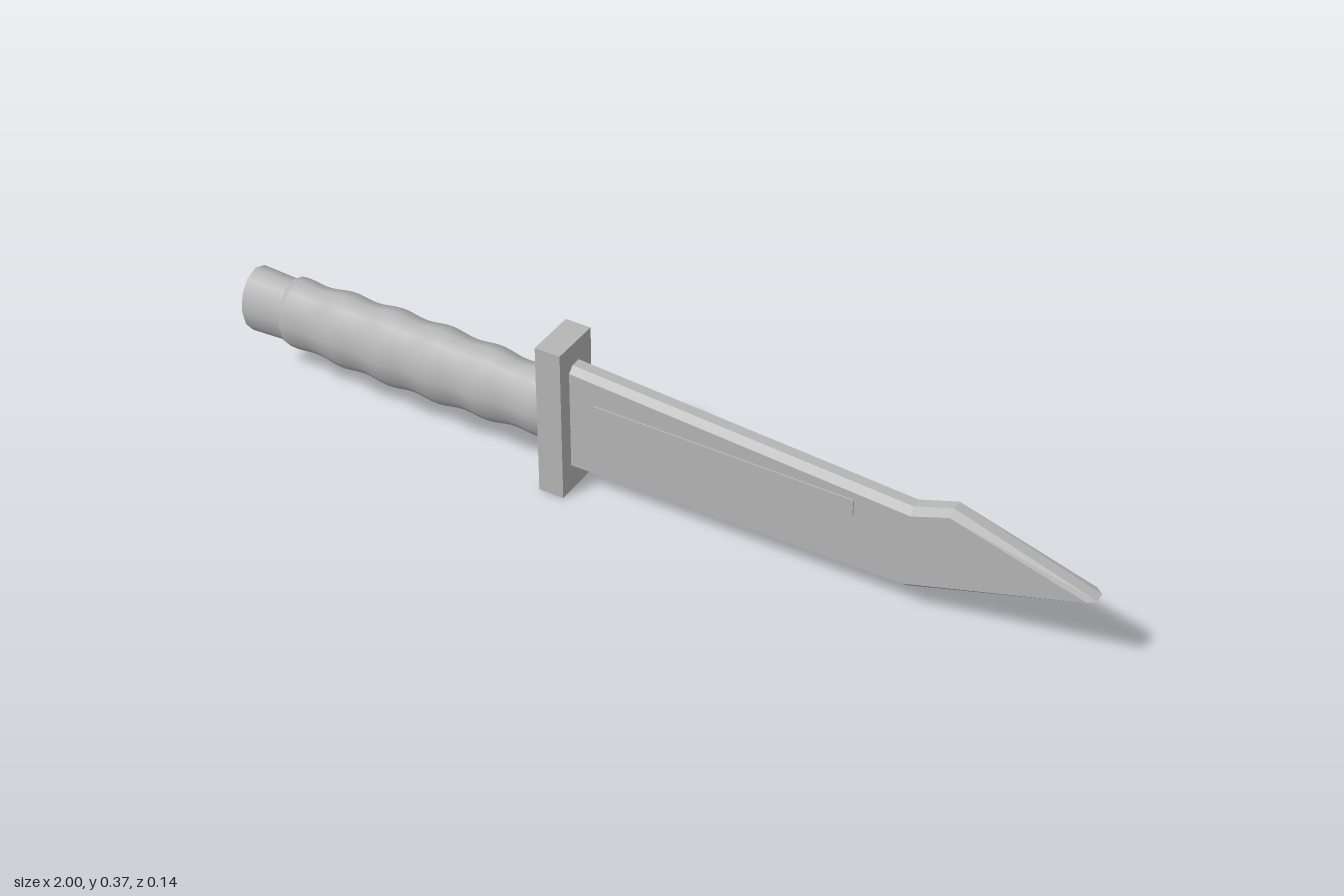
import * as THREE from 'three';

const steel = new THREE.MeshStandardMaterial({ color: 0xb6b6b6 });
steel.name = 'grey steel';

const AXIS_Y = 0.188; // height of the handle axis
const FLATTEN = 0.77; // handle is oval: narrower in z
const SIDES = 12;

function addPart(group, name, geometry, x = 0, y = 0, z = 0) {
  const mesh = new THREE.Mesh(geometry, steel);
  mesh.name = name;
  mesh.position.set(x, y, z);
  group.add(mesh);
  return mesh;
}

// Turns an upright round part so its axis runs along x, and makes it oval
function layDown(geometry) {
  return geometry.rotateZ(-Math.PI / 2).scale(1, 1, FLATTEN);
}

// Wavy grip: a gently swelling barrel with evenly spaced finger ridges
function gripGeometry() {
  const start = -0.9, end = -0.2, steps = 42;
  const points = [new THREE.Vector2(0.07, start)];
  for (let i = 0; i <= steps; i++) {
    const t = i / steps;
    const x = start + 0.004 + (end - start - 0.004) * t;
    const swell = 0.077 + 0.013 * Math.sin(Math.PI * Math.min(1, 0.12 + t * 0.88));
    const ridge = 0.0035 * Math.cos((x + 0.5) / 0.128 * Math.PI * 2);
    points.push(new THREE.Vector2(swell + ridge, x));
  }
  return layDown(new THREE.LatheGeometry(points, SIDES));
}

// Clip-point blade: wide outline in the middle, inset outline on both flat faces
function bladeGeometry() {
  const outer = [[-0.18, 0.053], [0.61, 0.067], [1, 0.2], [0.695, 0.3], [0.61, 0.27], [-0.18, 0.32]];
  const inner = [[-0.18, 0.066], [0.607, 0.08], [0.985, 0.2], [0.692, 0.285], [0.612, 0.255], [-0.18, 0.306]];
  const loops = [[inner, -0.026], [outer, -0.012], [outer, 0.012], [inner, 0.026]]
    .map(([loop, z]) => loop.map(([x, y]) => [x, y, z]));
  const positions = [];
  const tri = (a, b, c) => positions.push(...a, ...b, ...c);
  const n = outer.length;
  // spine, edge and bevel bands
  for (let k = 0; k < loops.length - 1; k++) {
    for (let i = 0; i < n; i++) {
      const j = (i + 1) % n;
      const [a, b, c, d] = [loops[k][i], loops[k][j], loops[k + 1][j], loops[k + 1][i]];
      tri(a, b, c);
      tri(a, c, d);
    }
  }
  // flat faces
  const flat = inner.map(([x, y]) => new THREE.Vector2(x, y));
  for (const [a, b, c] of THREE.ShapeUtils.triangulateShape(flat, [])) {
    tri(loops[3][a], loops[3][b], loops[3][c]);
    tri(loops[0][c], loops[0][b], loops[0][a]);
  }
  const geometry = new THREE.BufferGeometry();
  geometry.setAttribute('position', new THREE.Float32BufferAttribute(positions, 3));
  geometry.computeVertexNormals();
  return geometry;
}

export function createModel() {
  const knife = new THREE.Group();
  knife.name = 'knife';

  // handle
  const pommel = layDown(new THREE.CylinderGeometry(0.075, 0.08, 0.105, SIDES));
  addPart(knife, 'pommel', pommel, -0.9475, AXIS_Y);
  addPart(knife, 'grip', gripGeometry(), 0, AXIS_Y);

  // cross guard
  addPart(knife, 'guard', new THREE.BoxGeometry(0.06, 0.37, 0.12), -0.198, 0.185);

  // blade with a thin raised strip on each face
  addPart(knife, 'blade', bladeGeometry());
  for (const side of [1, -1]) {
    const strip = new THREE.BoxGeometry(0.6, 0.038, 0.008);
    addPart(knife, side > 0 ? 'frontBladeStrip' : 'backBladeStrip', strip, 0.19, 0.227, side * 0.0255);
  }
  return knife;
}
